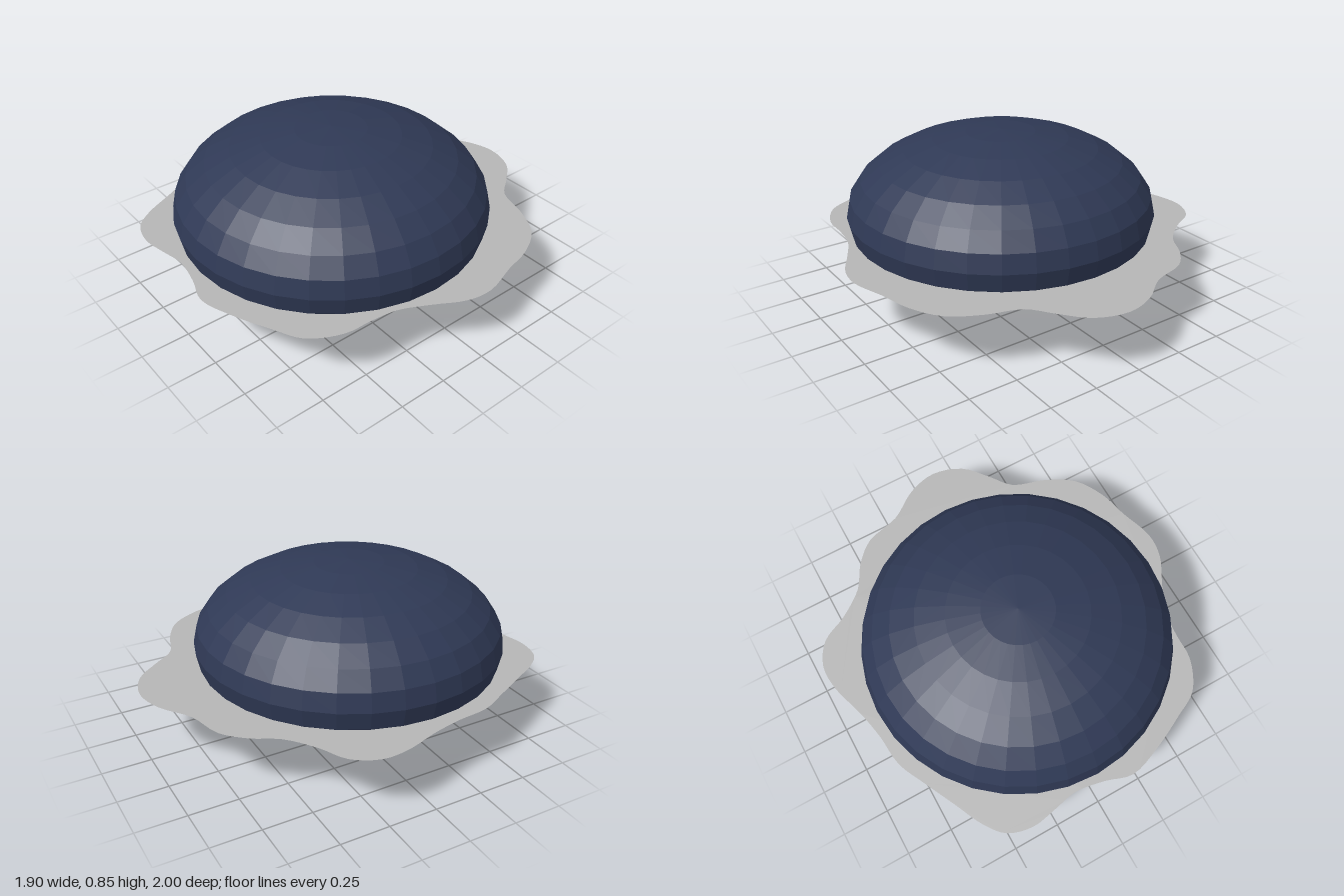
import * as THREE from 'three';

export function createModel() {
  const group = new THREE.Group();
  const navy = new THREE.MeshStandardMaterial({ color: 0x2f3955, flatShading: true });
  navy.name = 'navy';
  const grey = new THREE.MeshStandardMaterial({ color: 0xb6b6b6, side: THREE.DoubleSide });
  grey.name = 'grey';

  // Faceted, flattened body
  const bodyGeometry = new THREE.SphereGeometry(1, 32, 14);
  bodyGeometry.scale(0.804, 0.423, 0.804);
  const body = new THREE.Mesh(bodyGeometry, navy);
  body.name = 'body';
  body.position.set(0, 0.43, 0.112);
  group.add(body);

  // Thin wavy skirt around the body: outline as x, z pairs
  const outline = [
    [0.08, -1], [0.24, -0.95], [0.35, -0.83], [0.44, -0.72], [0.61, -0.66],
    [0.76, -0.57], [0.85, -0.42], [0.89, -0.265], [0.945, -0.08], [0.93, 0.05],
    [0.85, 0.2], [0.78, 0.345], [0.76, 0.48], [0.75, 0.625], [0.665, 0.78],
    [0.53, 0.855], [0.35, 0.94], [0.17, 0.995], [0.03, 0.955], [-0.125, 0.93],
    [-0.26, 0.955], [-0.39, 0.975], [-0.52, 0.94], [-0.6, 0.85], [-0.68, 0.69],
    [-0.76, 0.53], [-0.83, 0.38], [-0.85, 0.21], [-0.885, 0.05], [-0.94, -0.13],
    [-0.945, -0.265], [-0.875, -0.39], [-0.735, -0.465], [-0.6, -0.57],
    [-0.52, -0.7], [-0.415, -0.8], [-0.23, -0.855], [-0.075, -0.96],
  ];
  const curve = new THREE.CatmullRomCurve3(
    outline.map(([x, z]) => new THREE.Vector3(x, -z, 0)), true);
  const shape = new THREE.Shape(
    curve.getPoints(152).slice(0, -1).map((p) => new THREE.Vector2(p.x, p.y)));
  const skirtGeometry = new THREE.ShapeGeometry(shape);
  skirtGeometry.rotateX(-Math.PI / 2);
  const skirt = new THREE.Mesh(skirtGeometry, grey);
  skirt.name = 'wavySkirt';
  skirt.position.y = 0.334;
  group.add(skirt);

  return group;
}
